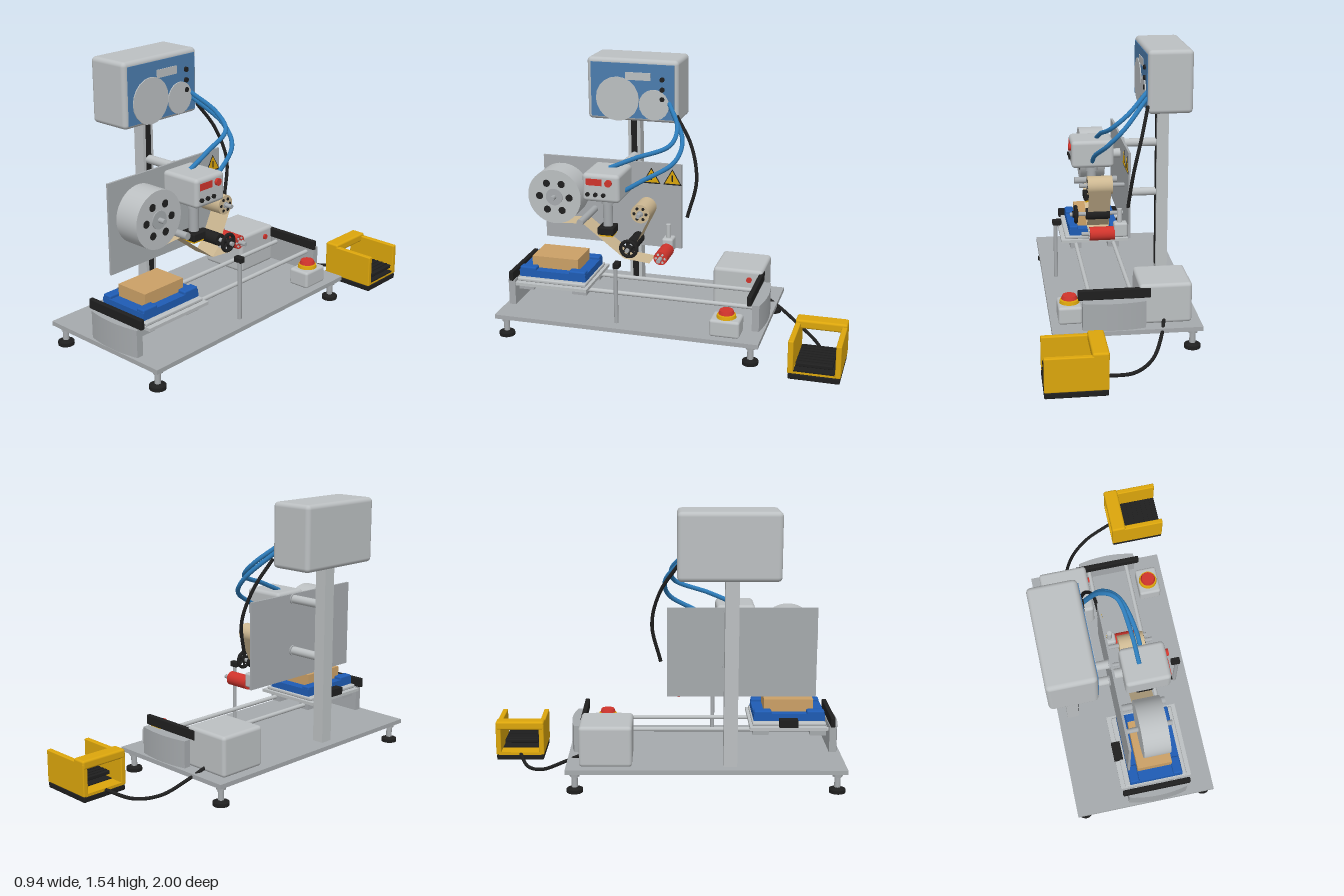
import * as THREE from 'three';
import { RoundedBoxGeometry } from 'three/addons/geometries/RoundedBoxGeometry.js';

const mat = (name, color, side = THREE.FrontSide) => {
  const m = new THREE.MeshStandardMaterial({ color, side });
  m.name = name;
  return m;
};

export function createModel() {
  const root = new THREE.Group();
  root.name = 'benchLabelPrinter';
  const gray = mat('light gray', 0xbcc0c2), steel = mat('steel', 0xa6aaad), black = mat('black', 0x1f1f1f),
    yellow = mat('yellow', 0xdca60c), red = mat('red', 0xd0342c), tan = mat('carton tan', 0xcba066),
    cream = mat('film cream', 0xcdb892, THREE.DoubleSide), trayBlue = mat('tray blue', 0x1f5cb4),
    panelBlue = mat('panel blue', 0x4c7dae), hoseBlue = mat('hose blue', 0x2d7cba);

  const add = (name, geo, m, parent = root) => {
    const mesh = new THREE.Mesh(geo, m);
    mesh.name = name;
    parent.add(mesh);
    return mesh;
  };
  // Box given by its limits on each axis; r rounds the edges
  const box = (name, m, [x0, x1], [y0, y1], [z0, z1], r = 0) => {
    const d = [x1 - x0, y1 - y0, z1 - z0];
    const g = r ? new RoundedBoxGeometry(...d, 4, r) : new THREE.BoxGeometry(...d);
    return add(name, g.translate((x0 + x1) / 2, (y0 + y1) / 2, (z0 + z1) / 2), m);
  };
  // Cylinders along each axis, given by both ends
  const cylY = (name, m, x, z, y0, y1, r, rTop = r, n = 28) =>
    add(name, new THREE.CylinderGeometry(rTop, r, y1 - y0, n).translate(x, (y0 + y1) / 2, z), m);
  const cylX = (name, m, x0, x1, y, z, r, n = 28) =>
    add(name, new THREE.CylinderGeometry(r, r, x1 - x0, n).rotateZ(-Math.PI / 2).translate((x0 + x1) / 2, y, z), m);
  const cylZ = (name, m, x, y, z0, z1, r) =>
    add(name, new THREE.CylinderGeometry(r, r, z1 - z0, 20).rotateX(Math.PI / 2).translate(x, y, (z0 + z1) / 2), m);
  const tube = (name, m, pts, r) => add(name, new THREE.TubeGeometry(
    new THREE.CatmullRomCurve3(pts.map(p => new THREE.Vector3(...p))), 48, r, 10), m);

  // Base plate on four levelling feet
  box('basePlate', steel, [-0.43, 0.39], [0.115, 0.14], [-0.54, 1]);
  for (const x of [-0.38, 0.34]) for (const z of [-0.49, 0.95]) {
    cylY('footPad', black, x, z, 0, 0.02, 0.045);
    cylY('footCone', black, x, z, 0.02, 0.03, 0.035, 0.02);
    cylY('footRod', steel, x, z, 0.02, 0.115, 0.017);
    cylY('footNut', steel, x, z, 0.09, 0.115, 0.028, 0.028, 6);
  }

  // Column with dark slot, and arms to the mounting plate
  box('column', gray, [-0.375, -0.305], [0.14, 1.185], [0.325, 0.4]);
  box('columnSlot', black, [-0.306, -0.301], [0.17, 1.16], [0.345, 0.38]);
  for (const y of [0.945, 0.637]) {
    cylX('columnArm', gray, -0.305, -0.1, y, 0.36, 0.025);
    cylX('armFlange', steel, -0.113, -0.104, y, 0.36, 0.032);
  }
  box('mountingPlate', steel, [-0.105, -0.092], [0.465, 0.975], [0.015, 0.855]);

  // Control cabinet
  box('cabinet', gray, [-0.47, -0.21], [1.18, 1.545], [0.068, 0.615], 0.025);
  box('cabinetPanel', panelBlue, [-0.212, -0.206], [1.2, 1.52], [0.09, 0.59]);
  cylX('largeDial', gray, -0.207, -0.2, 1.31, 0.43, 0.13, 20);
  cylX('smallDial', gray, -0.207, -0.2, 1.285, 0.21, 0.09, 18);
  box('cabinetDisplay', gray, [-0.207, -0.202], [1.425, 1.47], [0.23, 0.38]);
  for (const y of [1.436, 1.377, 1.322]) cylX('cabinetButton', black, -0.207, -0.195, y, 0.16, 0.014);

  // Warning triangles: black border, yellow field, black mark
  const triangle = (name, m, s, x, z) => {
    const sh = new THREE.Shape([[-0.055, -0.045], [0.055, -0.045], [0, 0.05]].map(p => new THREE.Vector2(p[0] * s, p[1] * s)));
    add(name, new THREE.ExtrudeGeometry(sh, { depth: 0.003, bevelEnabled: false })
      .rotateY(Math.PI / 2).translate(x, 0.895, z), m);
  };
  for (const z of [0.195, 0.07]) {
    triangle('warningBorder', black, 1, -0.093, z);
    triangle('warningField', yellow, 0.82, -0.091, z);
    box('warningMark', black, [-0.089, -0.0865], [0.872, 0.91], [z - 0.004, z + 0.004]);
  }

  // Supply reel with six holes and a hub
  cylX('supplyReel', gray, -0.02, 0.128, 0.795, 0.71, 0.16, 48);
  cylX('reelAxle', steel, -0.095, 0.172, 0.795, 0.71, 0.014);
  cylX('reelHub', steel, 0.126, 0.134, 0.795, 0.71, 0.05);
  for (let i = 0; i < 6; i++) {
    const a = i * Math.PI / 3;
    cylX('reelHole', black, 0.125, 0.131, 0.795 + 0.09 * Math.sin(a), 0.71 + 0.09 * Math.cos(a), 0.021);
  }

  // Take-up spool, guide roller and rubber drive roller
  cylX('takeUpSpool', cream, -0.02, 0.125, 0.735, 0.2, 0.055);
  cylX('spoolAxle', steel, -0.095, 0.172, 0.735, 0.2, 0.012);
  cylX('spoolHub', steel, 0.123, 0.131, 0.735, 0.2, 0.018);
  for (let i = 0; i < 6; i++) {
    const a = i * Math.PI / 3;
    cylX('spoolHole', black, 0.122, 0.128, 0.735 + 0.035 * Math.sin(a), 0.2 + 0.035 * Math.cos(a), 0.009, 12);
  }
  cylX('guideRoller', steel, -0.095, 0.172, 0.665, 0.545, 0.02);
  cylX('driveRoller', black, -0.01, 0.13, 0.545, 0.25, 0.035);
  cylX('driveShaft', steel, -0.095, 0.225, 0.545, 0.25, 0.012);

  // Handwheel
  add('handwheelRim', new THREE.TorusGeometry(0.046, 0.01, 10, 32).rotateY(Math.PI / 2).translate(0.19, 0.545, 0.25), black);
  cylX('handwheelHub', black, 0.175, 0.21, 0.545, 0.25, 0.02);
  for (let i = 0; i < 3; i++) add('handwheelSpoke', new THREE.CylinderGeometry(0.007, 0.007, 0.09, 8)
    .rotateX(i * Math.PI / 3).translate(0.19, 0.545, 0.25), black);

  // Red pressure roller with bracket and post
  cylX('pressureRoller', red, -0.02, 0.125, 0.478, 0.083, 0.04);
  cylX('pressureAxle', steel, -0.095, 0.172, 0.478, 0.083, 0.012);
  for (let i = 0; i < 6; i++) {
    const a = i * Math.PI / 3;
    cylX('pressureCapHole', gray, 0.124, 0.129, 0.478 + 0.026 * Math.sin(a), 0.083 + 0.026 * Math.cos(a), 0.007, 10);
  }
  box('pressureBracket', gray, [-0.094, -0.015], [0.46, 0.545], [0.05, 0.115], 0.012);
  cylY('pressurePost', gray, -0.05, 0.083, 0.53, 0.625, 0.014);

  // Film web from the reel to the take-up spool
  const web = [[0.71, 0.635], [0.545, 0.645], [0.3, 0.455], [0.15, 0.44]];
  const web2 = [[0.3, 0.455], [0.25, 0.508], [0.15, 0.71]];
  for (const path of [web, web2]) {
    const pos = path.flatMap(([z, y]) => [-0.01, y, z, 0.12, y, z]), idx = [];
    for (let i = 0; i < path.length - 1; i++) idx.push(2 * i, 2 * i + 1, 2 * i + 2, 2 * i + 1, 2 * i + 3, 2 * i + 2);
    const g = new THREE.BufferGeometry();
    g.setAttribute('position', new THREE.Float32BufferAttribute(pos, 3));
    g.setIndex(idx);
    const flat = g.toNonIndexed();
    flat.computeVertexNormals();
    add('filmWeb', flat, cream);
  }

  // Print head with display, buttons and plunger
  box('printHead', gray, [-0.045, 0.207], [0.812, 0.975], [0.295, 0.512], 0.022);
  cylX('headMount', gray, -0.095, -0.04, 0.872, 0.4, 0.028);
  box('headDisplay', red, [0.204, 0.21], [0.91, 0.948], [0.395, 0.487]);
  cylX('headRedButton', red, 0.205, 0.222, 0.93, 0.355, 0.02);
  for (const z of [0.478, 0.432, 0.386]) cylX('headButton', black, 0.205, 0.218, 0.857, z, 0.012);
  cylY('plungerCollar', steel, 0.08, 0.405, 0.77, 0.815, 0.036);
  cylY('plunger', steel, 0.08, 0.405, 0.63, 0.79, 0.028);
  box('stampHolder', black, [0.03, 0.13], [0.588, 0.635], [0.36, 0.455], 0.008);
  box('stampPad', yellow, [0.04, 0.12], [0.578, 0.589], [0.368, 0.447]);

  // Air hoses and cables
  tube('upperHose', hoseBlue, [[-0.21, 1.3, 0.12], [-0.09, 1.19, 0.04], [0, 1.11, 0.06], [0.04, 1.035, 0.25], [0.05, 0.97, 0.4]], 0.013);
  tube('lowerHose', hoseBlue, [[-0.21, 1.27, 0.11], [-0.07, 1.12, 0.005], [0.02, 1.02, 0.03], [0.08, 0.91, 0.21], [0.08, 0.79, 0.4]], 0.013);
  tube('headCable', black, [[-0.21, 1.23, 0.075], [-0.16, 1.07, -0.025], [-0.11, 0.88, -0.068], [-0.085, 0.665, -0.02]], 0.01);
  tube('pedalCable', black, [[-0.225, 0.16, -0.46], [-0.2, 0.115, -0.55], [-0.13, 0.04, -0.69], [-0.02, 0.016, -0.79], [0.15, 0.04, -0.857]], 0.01);

  // Slide rails between curved end blocks with black bumpers
  for (const x of [-0.067, 0.168]) cylZ('slideRail', gray, x, 0.26, -0.49, 0.96, 0.0125);
  const end = new THREE.Shape();
  end.moveTo(-0.172, 0).lineTo(0.172, 0).lineTo(0.172, 0.04);
  end.quadraticCurveTo(0, 0.082, -0.172, 0.04).closePath();
  for (const [z, turn, bz] of [[0.938, 0, 0.953], [-0.472, Math.PI, -0.458]]) {
    add('endBlock', new THREE.ExtrudeGeometry(end, { depth: 0.155, bevelEnabled: false, curveSegments: 24 })
      .rotateX(Math.PI / 2).translate(0, 0.295, 0).rotateY(turn).translate(0.052, 0, z), steel);
    box('bumperBar', black, [-0.152, 0.245], [0.295, 0.352], [bz - 0.013, bz + 0.013], 0.006);
  }

  // Carriage with blue nest and carton
  for (const x of [-0.067, 0.168]) for (const z of [0.55, 0.875])
    box('slideBearing', steel, [x - 0.035, x + 0.035], [0.235, 0.282], [z - 0.045, z + 0.045]);
  box('carriagePlate', gray, [-0.155, 0.26], [0.278, 0.296], [0.485, 0.92]);
  box('carriageTop', gray, [-0.13, 0.235], [0.296, 0.318], [0.5, 0.917], 0.008);
  box('carriageKnob', black, [-0.16, -0.11], [0.296, 0.34], [0.65, 0.755]);
  box('nest', trayBlue, [-0.1, 0.207], [0.316, 0.36], [0.508, 0.912]);
  for (const x of [-0.073, 0.18]) for (const z of [0.56, 0.86])
    box('nestCorner', trayBlue, [x - 0.027, x + 0.027], [0.35, 0.378], [z - 0.05, z + 0.05], 0.009);
  box('carton', tan, [-0.045, 0.155], [0.358, 0.43], [0.57, 0.85]);

  // Drive housing with lamp, sensor post
  box('driveHousing', gray, [-0.38, -0.09], [0.138, 0.368], [-0.467, -0.175], 0.02);
  cylX('driveLamp', red, -0.092, -0.08, 0.312, -0.39, 0.016);
  cylY('sensorPost', steel, 0.31, 0.29, 0.14, 0.48, 0.012);
  box('sensorHead', black, [0.275, 0.328], [0.472, 0.505], [0.266, 0.302], 0.006);

  // Emergency stop
  box('stopHousing', gray, [0.217, 0.348], [0.138, 0.238], [-0.425, -0.255], 0.015);
  cylY('stopRing', yellow, 0.282, -0.34, 0.236, 0.255, 0.056, 0.052);
  cylY('stopNeck', red, 0.282, -0.34, 0.25, 0.262, 0.03);
  cylY('stopButton', red, 0.282, -0.34, 0.26, 0.28, 0.045, 0.038);

  // Foot pedal with guard
  box('pedalBase', black, [0.14, 0.465], [0, 0.035], [-0.997, -0.718], 0.008);
  box('guardFloor', yellow, [0.137, 0.46], [0.034, 0.05], [-0.985, -0.73]);
  for (const z of [-0.985, -0.73]) box('guardWall', yellow, [0.137, 0.465], [0.034, 0.222], [z - 0.015, z + 0.015], 0.006);
  box('guardBridge', yellow, [0.135, 0.222], [0.187, 0.238], [-1, -0.715], 0.012);
  box('pedalFloor', black, [0.222, 0.462], [0.048, 0.056], [-0.968, -0.748]);
  const tread = box('pedalTread', black, [-0.118, 0.118], [-0.011, 0.011], [-0.1, 0.1], 0.005);
  tread.position.set(0.342, 0.09, -0.857);
  for (let i = 0; i < 7; i++)
    box('treadRib', black, [0.24 + i * 0.031, 0.25 + i * 0.031], [0.1, 0.106], [-0.95, -0.765]);

  return root;
}
